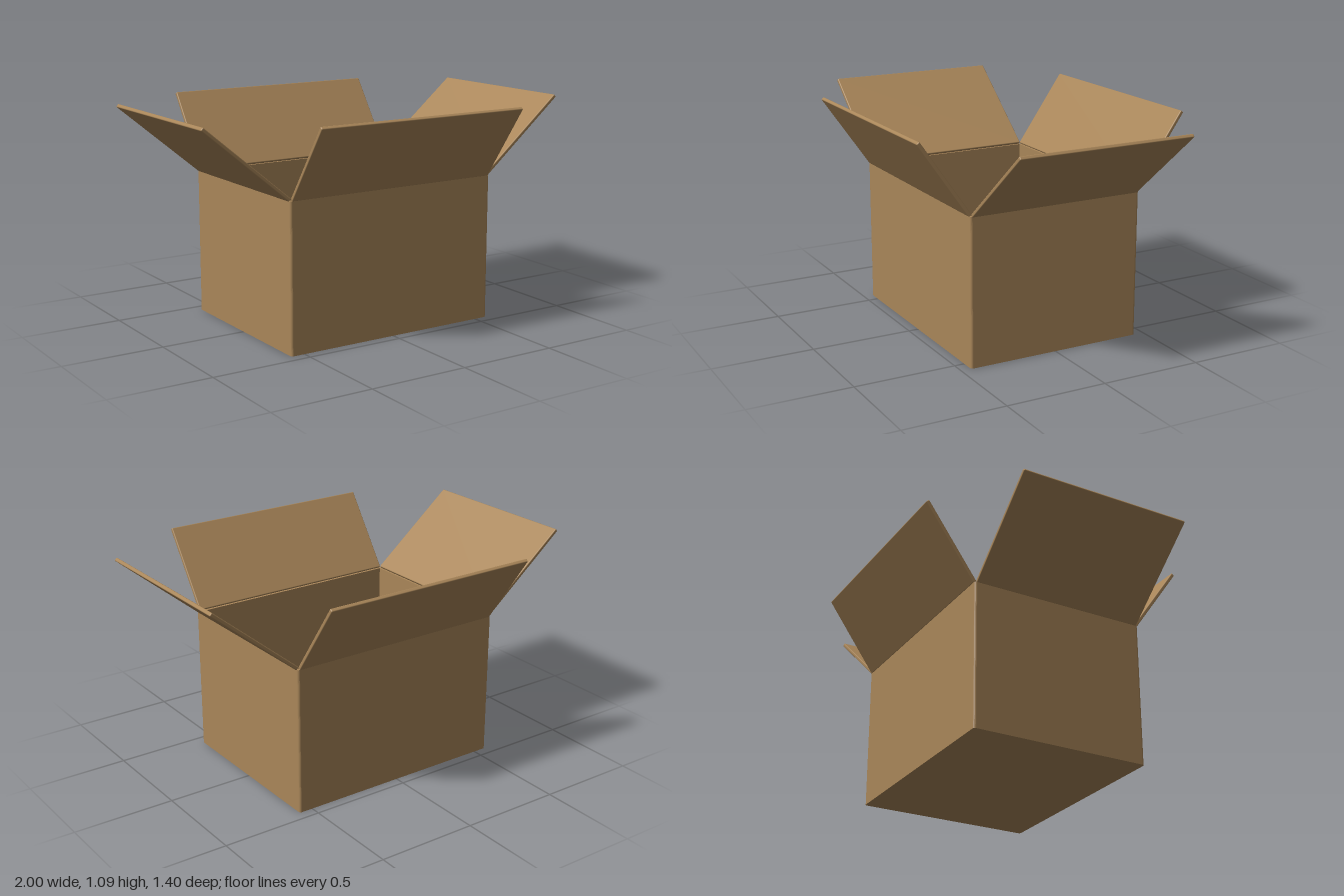
import * as THREE from 'three';
import { RoundedBoxGeometry } from 'three/addons/geometries/RoundedBoxGeometry.js';

const HX = 0.57, HZ = 0.45, H = 0.725, T = 0.016;

// Rounded rectangle outline in the ground plane
function outline(hx, hz, r) {
  const s = new THREE.Shape();
  s.moveTo(hx, -hz + r);
  s.absarc(hx - r, hz - r, r, 0, Math.PI / 2);
  s.absarc(-hx + r, hz - r, r, Math.PI / 2, Math.PI);
  s.absarc(-hx + r, -hz + r, r, Math.PI, Math.PI * 1.5);
  s.absarc(hx - r, -hz + r, r, Math.PI * 1.5, Math.PI * 2);
  return s;
}

// Upright extrusion of a ground-plane shape
function prism(shape, height) {
  const g = new THREE.ExtrudeGeometry(shape, { depth: height, bevelEnabled: false, curveSegments: 4 });
  return g.rotateX(-Math.PI / 2);
}

export function createModel() {
  const model = new THREE.Group();
  const cardboard = new THREE.MeshStandardMaterial({ color: 0xa98659 });
  cardboard.name = 'cardboard';

  const add = (name, geometry, parent = model) => {
    const mesh = new THREE.Mesh(geometry, cardboard);
    mesh.name = name;
    parent.add(mesh);
    return mesh;
  };

  // Four walls as one hollow ring, with a floor below
  const ring = outline(HX, HZ, 0.012);
  const ix = HX - T, iz = HZ - T;
  ring.holes.push(new THREE.Path([
    new THREE.Vector2(-ix, -iz), new THREE.Vector2(-ix, iz),
    new THREE.Vector2(ix, iz), new THREE.Vector2(ix, -iz),
  ]));
  add('walls', prism(ring, H - T)).position.y = T;
  add('floor', prism(outline(HX, HZ, 0.012), T));

  // Open flaps hinged on the rim: heading, hinge distance, run, rise, width
  const rise = 0.355;
  const flaps = [
    ['leftFlap', 0, 0.563, 0.428, 0.88],
    ['backFlap', Math.PI / 2, 0.443, 0.248, 1.12],
    ['rightFlap', Math.PI, 0.563, 0.428, 0.88],
    ['frontFlap', -Math.PI / 2, 0.443, 0.248, 1.12],
  ];
  for (const [name, heading, hinge, run, width] of flaps) {
    const side = new THREE.Group();
    side.name = name + 'Hinge';
    side.rotation.y = heading;
    const length = Math.hypot(run, rise) + 0.006;
    const panel = new RoundedBoxGeometry(length, 0.018, width, 2, 0.005);
    panel.translate(length / 2, 0, 0);
    const flap = add(name, panel, side);
    flap.position.set(hinge, H + 0.003, 0);
    flap.rotation.z = Math.atan2(rise, run);
    model.add(side);
  }
  return model;
}
